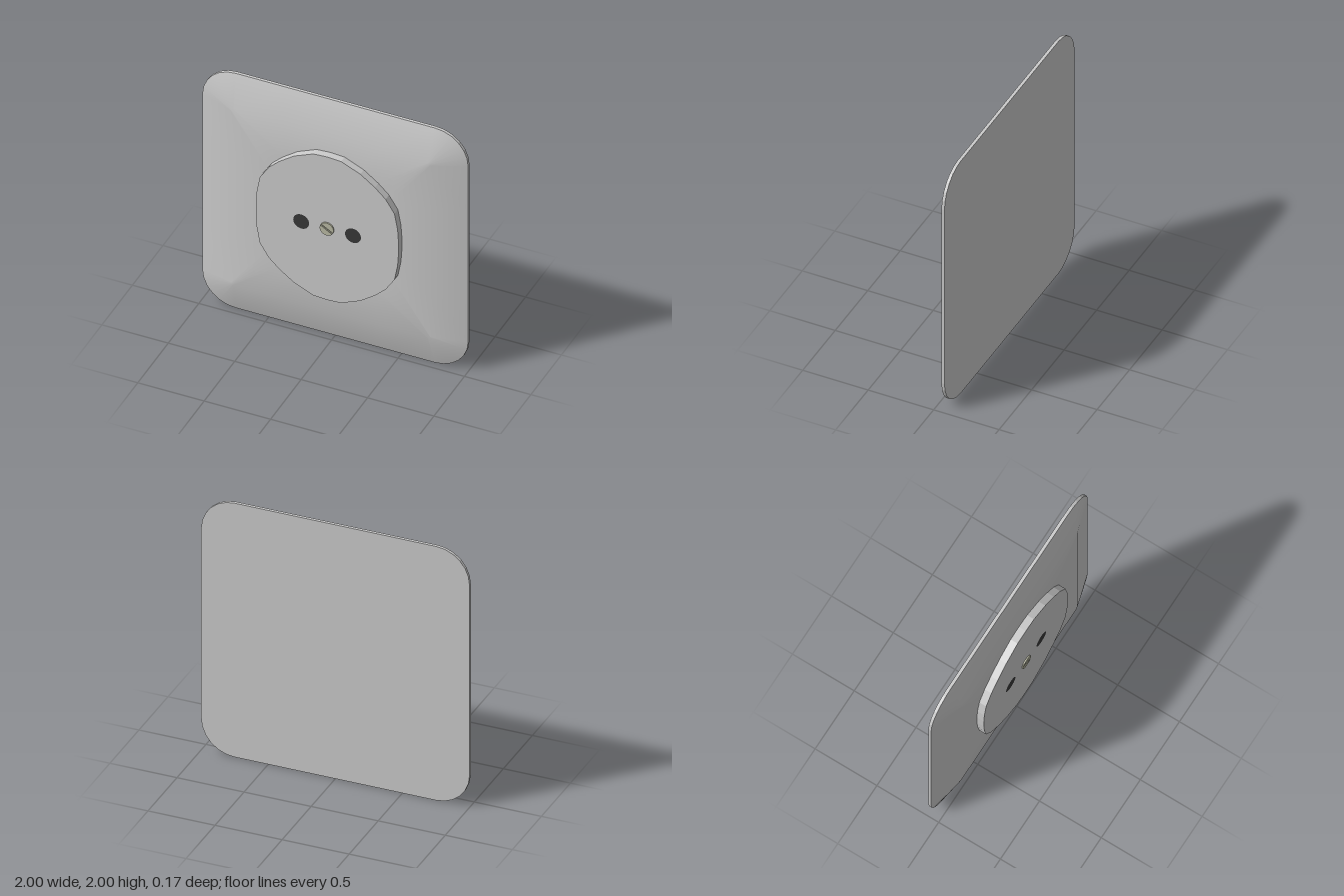
import * as THREE from 'three';

const grey = new THREE.MeshStandardMaterial({ color: 0xcccccc });
const dark = new THREE.MeshStandardMaterial({ color: 0x383838 });
const metal = new THREE.MeshStandardMaterial({ color: 0xbabaa4 });

const CORNER_STEPS = 6;
const EDGE_STEPS = 4;

// Counter-clockwise rounded square; every loop has the same point count
function roundedSquare(half, radius) {
  const points = [];
  const c = half - radius;
  for (let k = 0; k < 4; k++) {
    const turn = (k * Math.PI) / 2;
    const corner = new THREE.Vector2(c, c).rotateAround(new THREE.Vector2(), turn);
    for (let i = 0; i <= CORNER_STEPS; i++) {
      const a = turn + (i / CORNER_STEPS) * Math.PI / 2;
      points.push(new THREE.Vector2(corner.x + radius * Math.cos(a), corner.y + radius * Math.sin(a)));
    }
    for (let i = 1; i < EDGE_STEPS; i++) {
      const p = new THREE.Vector2(c - (2 * c * i) / EDGE_STEPS, half);
      points.push(p.rotateAround(new THREE.Vector2(), turn));
    }
  }
  return points;
}

// Smooth front skin lofted through the loops and closed in the middle
function domeGeometry(loops, centreZ) {
  const positions = [];
  const index = [];
  const n = loops[0].points.length;
  for (const { points, z } of loops) for (const p of points) positions.push(p.x, p.y, z);
  const centre = positions.length / 3;
  positions.push(0, 0, centreZ);
  for (let r = 0; r < loops.length; r++) {
    for (let i = 0; i < n; i++) {
      const a = r * n + i;
      const b = r * n + ((i + 1) % n);
      if (r === loops.length - 1) index.push(a, b, centre);
      else index.push(a, b, b + n, a, b + n, a + n);
    }
  }
  const geometry = new THREE.BufferGeometry();
  geometry.setAttribute('position', new THREE.Float32BufferAttribute(positions, 3));
  geometry.setIndex(index);
  geometry.computeVertexNormals();
  return geometry;
}

function extrude(points, depth) {
  return new THREE.ExtrudeGeometry(new THREE.Shape(points), { depth, bevelEnabled: false });
}

export function createModel() {
  const model = new THREE.Group();
  model.name = 'wallSocket';

  const add = (name, geometry, material, x, z) => {
    const mesh = new THREE.Mesh(geometry, material);
    mesh.name = name;
    mesh.position.set(x, 1, z);
    model.add(mesh);
    return mesh;
  };

  // Cover plate: thin rim with flat back, and a sloped, softly shaded front
  const outline = roundedSquare(1, 0.25);
  add('plateRim', extrude(outline, 0.023), grey, 0, -0.083);
  add('plateFront', domeGeometry([
    { points: outline, z: -0.06 },
    { points: roundedSquare(0.75, 0.02), z: 0.015 },
    { points: roundedSquare(0.45, 0.15), z: 0.018 },
  ], 0.018), grey, 0, 0);

  // Raised insert: one quarter outline, mirrored to all four
  const quarter = [[0.537, 0.05], [0.53, 0.155], [0.507, 0.28], [0.44, 0.385],
    [0.36, 0.46], [0.25, 0.54], [0.105, 0.603]];
  const half = [...quarter, [0, 0.61], ...quarter.map(([x, y]) => [-x, y]).reverse()];
  const insert = [...half, ...half.map(([x, y]) => [-x, -y])].map(([x, y]) => new THREE.Vector2(x, y));
  add('insert', extrude(insert, 0.073), grey, 0, 0);

  // Pin holes
  for (const side of [-1, 1]) {
    add(side > 0 ? 'leftPinHole' : 'rightPinHole', new THREE.CircleGeometry(0.06, 32), dark, side * 0.195, 0.0745);
  }

  // Centre screw: base disc and two raised halves leaving a slot
  const screw = new THREE.Group();
  screw.name = 'screw';
  screw.position.set(0, 1, 0.073);
  screw.rotation.z = -0.55;
  const base = new THREE.Mesh(new THREE.CircleGeometry(0.052, 32), metal);
  base.name = 'screwSlotFloor';
  base.position.z = 0.0015;
  screw.add(base);
  const segment = new THREE.Shape().absarc(0, 0, 0.052, 0.12, Math.PI - 0.12, false);
  for (const turn of [0, Math.PI]) {
    const head = new THREE.Mesh(
      new THREE.ExtrudeGeometry(segment, { depth: 0.01, bevelEnabled: false, curveSegments: 16 }), metal);
    head.name = 'screwHeadHalf';
    head.rotation.z = turn;
    screw.add(head);
  }
  model.add(screw);

  return model;
}
